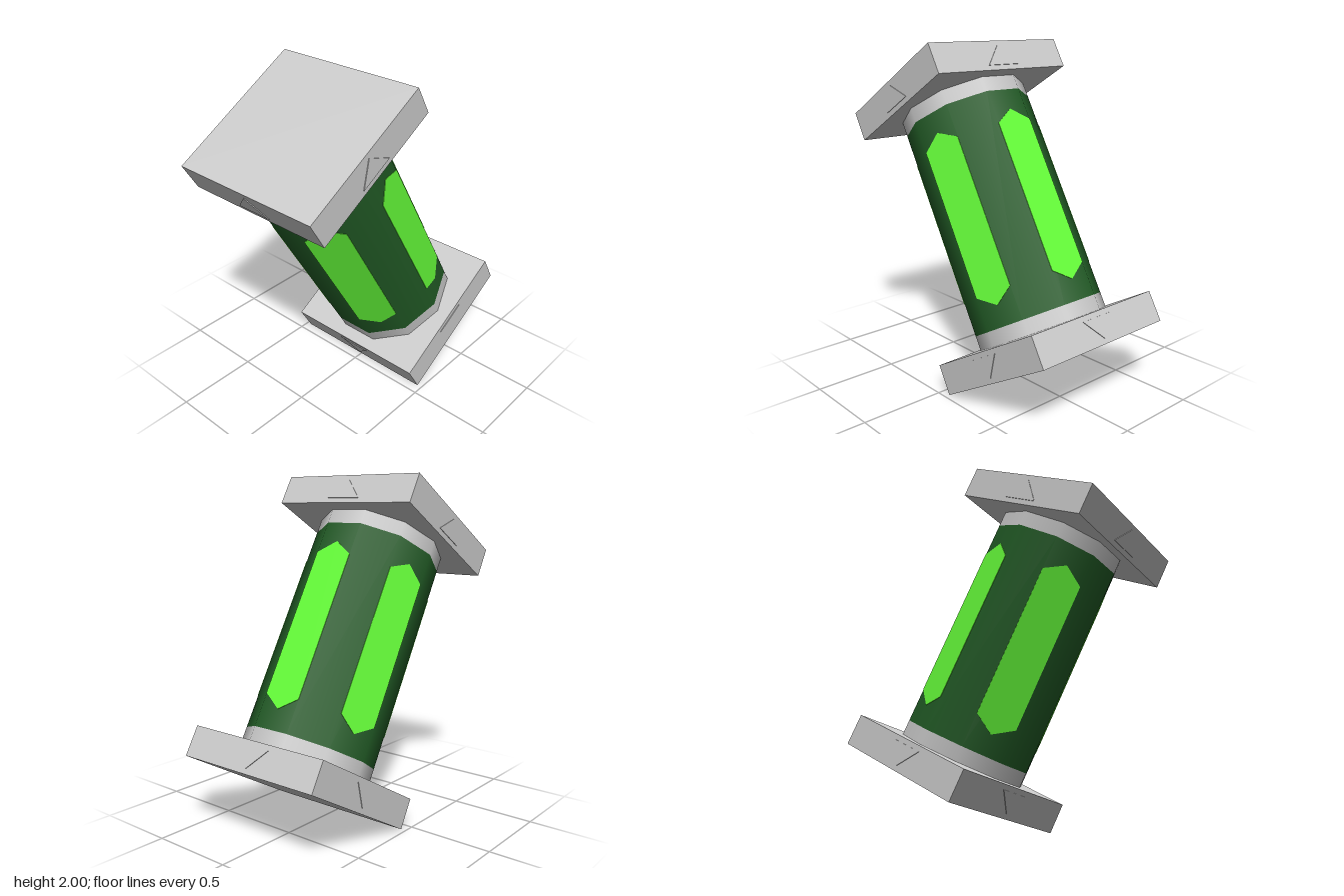
import * as THREE from 'three';

const W = 0.94, D = 0.89, T = 0.18;    // end plate size
const HALF = 0.897;                    // half length along the axis
const R = 0.386, COLLAR = 0.63;        // tube radius, start of the collars

const grey = new THREE.MeshStandardMaterial({ color: 0xcccccc });
const darkGreen = new THREE.MeshStandardMaterial({ color: 0x225c26 });
const brightGreen = new THREE.MeshStandardMaterial({ color: 0x66ff3a });

function add(parent, name, geometry, material) {
  const mesh = new THREE.Mesh(geometry, material);
  mesh.name = name;
  parent.add(mesh);
  return mesh;
}

// Ten-sided smooth tube section with a flat side facing the front
function tube(length) {
  return new THREE.CylinderGeometry(R, R, length, 10, 1, true, Math.PI / 10);
}

function plate(points, depth) {
  const shape = new THREE.Shape(points.map(([x, y]) => new THREE.Vector2(x, y)));
  return new THREE.ExtrudeGeometry(shape, { depth, bevelEnabled: false });
}

// Square end plate, collar and four small triangles pointing outward
function createEnd(name) {
  const end = new THREE.Group();
  end.name = name;
  add(end, 'endPlate', new THREE.BoxGeometry(W, T, D), grey).position.y = HALF - T / 2;
  const collarLength = HALF - T - COLLAR;
  add(end, 'collar', tube(collarLength), grey).position.y = COLLAR + collarLength / 2;

  const triangle = plate([[-0.11, HALF - 0.15], [0.11, HALF - 0.15], [0, HALF - 0.03]], 0.008);
  for (let i = 0; i < 4; i++) {
    const mark = add(end, 'triangleMark', triangle, grey);
    mark.rotation.y = i * Math.PI / 2;
    mark.translateZ((i % 2 ? W : D) / 2 - 0.004);
  }
  return end;
}

export function createModel() {
  const model = new THREE.Group();
  const canister = new THREE.Group();
  canister.name = 'canister';
  canister.position.y = 1;
  canister.rotation.x = Math.PI / 6;
  model.add(canister);

  // Ends, the lower one turned over
  canister.add(createEnd('topEnd'));
  const bottom = createEnd('bottomEnd');
  bottom.rotation.z = Math.PI;
  canister.add(bottom);

  // Body
  add(canister, 'body', tube(COLLAR * 2), darkGreen);

  // Bright pointed panels on every second flat side
  const w = R * Math.sin(Math.PI / 10);
  const panelGeometry = plate(
    [[-w, -0.435], [0, -0.51], [w, -0.435], [w, 0.435], [0, 0.51], [-w, 0.435]], 0.008);
  for (let i = 0; i < 5; i++) {
    const panel = add(canister, 'brightPanel', panelGeometry, brightGreen);
    panel.rotation.y = Math.PI + i * Math.PI * 0.4;
    panel.translateZ(R * Math.cos(Math.PI / 10) - 0.005);
  }
  return model;
}
